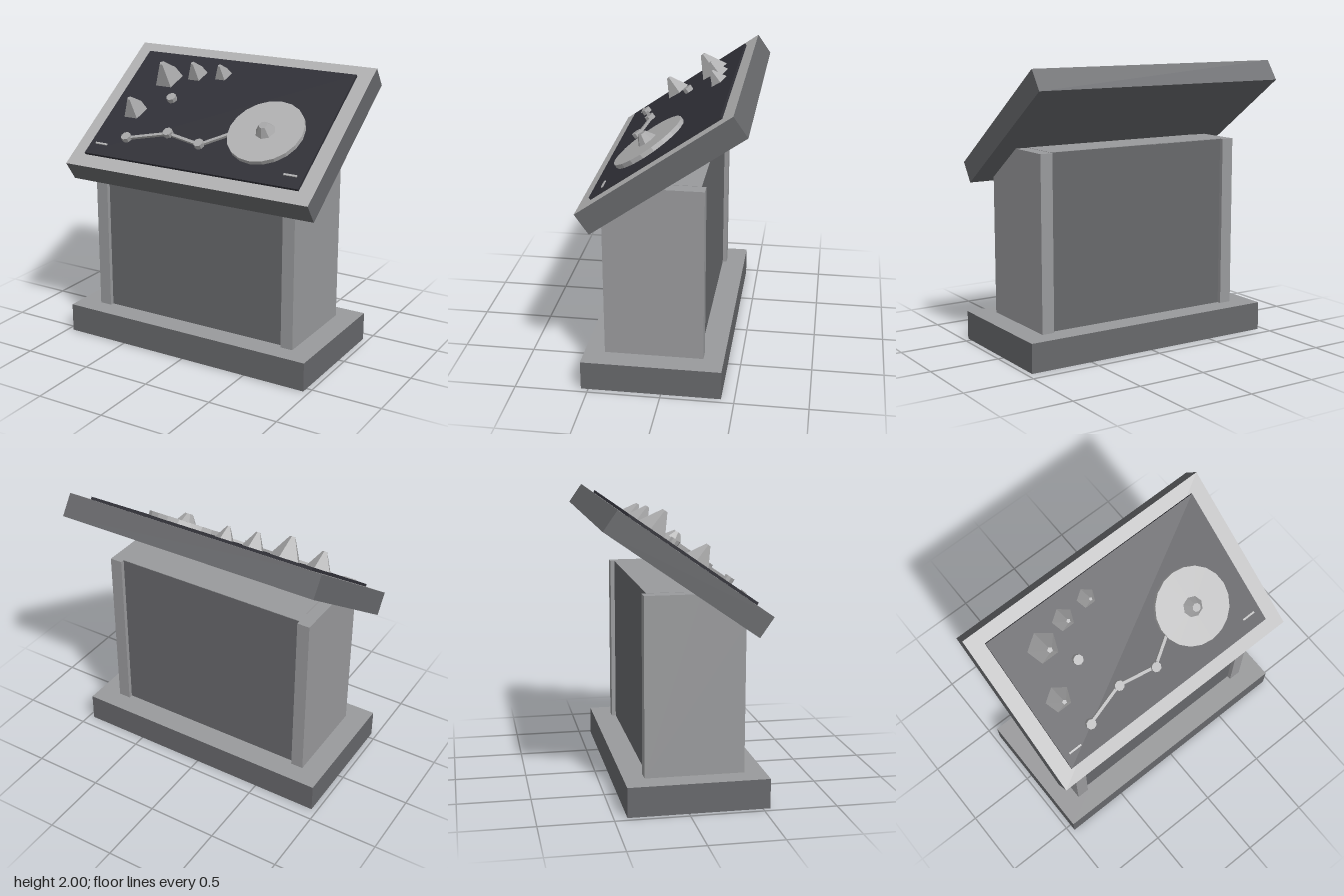
import * as THREE from 'three';

const paint = (name, color) => {
  const m = new THREE.MeshStandardMaterial({ color });
  m.name = name;
  return m;
};

export function createModel() {
  const model = new THREE.Group();
  model.name = 'controlConsole';

  const dark = paint('dark grey', 0x67686b);
  const mid = paint('mid grey', 0x999a9c);
  const light = paint('light grey', 0xb0b0b1);
  const knobGrey = paint('knob grey', 0xa6a6a7);
  const black = paint('panel black', 0x303037);

  const add = (parent, name, geometry, material, x = 0, y = 0, z = 0) => {
    const mesh = new THREE.Mesh(geometry, material);
    mesh.name = name;
    mesh.position.set(x, y, z);
    parent.add(mesh);
    return mesh;
  };
  const box = (w, h, d) => new THREE.BoxGeometry(w, h, d);
  // box whose top face has its own colour
  const topped = (side, top) => [side, side, top, side, side, side];
  // faceted cylinder or frustum standing on its base
  const faceted = (rTop, rBottom, h, sides, start = 0) => {
    const g = new THREE.CylinderGeometry(rTop, rBottom, h, sides, 1, false, start).toNonIndexed();
    g.computeVertexNormals();
    return g.translate(0, h / 2, 0);
  };

  // Plinth
  add(model, 'base', box(1.92, 0.205, 0.96), topped(dark, mid), 0, 0.1025, 0.07);

  // Pedestal: side profile with the front top corner sloped to sit inside the desk
  const slab = (width, front, back) => {
    const slopeY = 1.22 + (0.41 - front) * 0.7;
    const shape = new THREE.Shape([
      [back, 0.2], [front, 0.2], [front, slopeY], [0.11, 1.43], [back, 1.43],
    ].map(([z, y]) => new THREE.Vector2(z, y)));
    return new THREE.ExtrudeGeometry(shape, { depth: width, bevelEnabled: false })
      .rotateY(-Math.PI / 2).translate(width / 2, 0, 0);
  };
  add(model, 'pedestalCore', slab(1.42, 0.38, -0.24), dark);
  add(model, 'pedestalTop', box(1.42, 0.004, 0.35), mid, 0, 1.43, -0.065);
  for (const s of [-1, 1]) {
    add(model, s > 0 ? 'leftSidePanel' : 'rightSidePanel', slab(0.09, 0.41, -0.27), mid, s * 0.755);
  }

  // Tilted desk; everything on it is placed in its own frame
  const desk = new THREE.Group();
  desk.name = 'desk';
  desk.position.y = 1.58;
  desk.rotation.x = THREE.MathUtils.degToRad(35);
  model.add(desk);
  add(desk, 'deskBoard', box(1.92, 0.164, 1.232), topped(dark, light));
  add(desk, 'controlPanel', box(1.7, 0.02, 1.03), black, 0, 0.091, -0.005);
  const top = 0.101;

  // Round dial with its hub
  add(desk, 'dial', faceted(0.273, 0.273, 0.032, 20), light, 0.437, top, 0.103);
  add(desk, 'dialHub', faceted(0.03, 0.072, 0.06, 8), knobGrey, 0.437, top + 0.032, 0.105);

  // Five-sided pointed knobs: x, z, radius, height
  for (const [x, z, r, h] of [
    [-0.555, -0.28, 0.11, 0.15],
    [-0.345, -0.35, 0.079, 0.11],
    [-0.14, -0.375, 0.067, 0.09],
    [-0.66, 0.064, 0.092, 0.125],
  ]) add(desk, 'pointedKnob', faceted(r * 0.18, r, h, 5, Math.PI), knobGrey, x, top, z);

  // Buttons
  const nodes = [[-0.58, 0.332], [-0.28, 0.237], [0, 0.29]];
  for (const [x, z] of [...nodes, [-0.415, -0.078]]) {
    add(desk, 'button', faceted(0.036, 0.036, 0.035, 8), knobGrey, x, top, z);
  }

  // Bars linking the buttons to the dial
  const path = [...nodes, [0.2, 0.145]];
  for (let i = 0; i < path.length - 1; i++) {
    const [x0, z0] = path[i], [x1, z1] = path[i + 1];
    const bar = add(desk, 'linkBar', box(Math.hypot(x1 - x0, z1 - z0), 0.018, 0.022), knobGrey,
      (x0 + x1) / 2, top + 0.009, (z0 + z1) / 2);
    bar.rotation.y = -Math.atan2(z1 - z0, x1 - x0);
  }

  // Small strips in the lower corners
  for (const x of [-0.758, 0.752]) {
    add(desk, 'cornerStrip', box(0.098, 0.008, 0.014), light, x, top + 0.003, 0.412);
  }

  return model;
}
